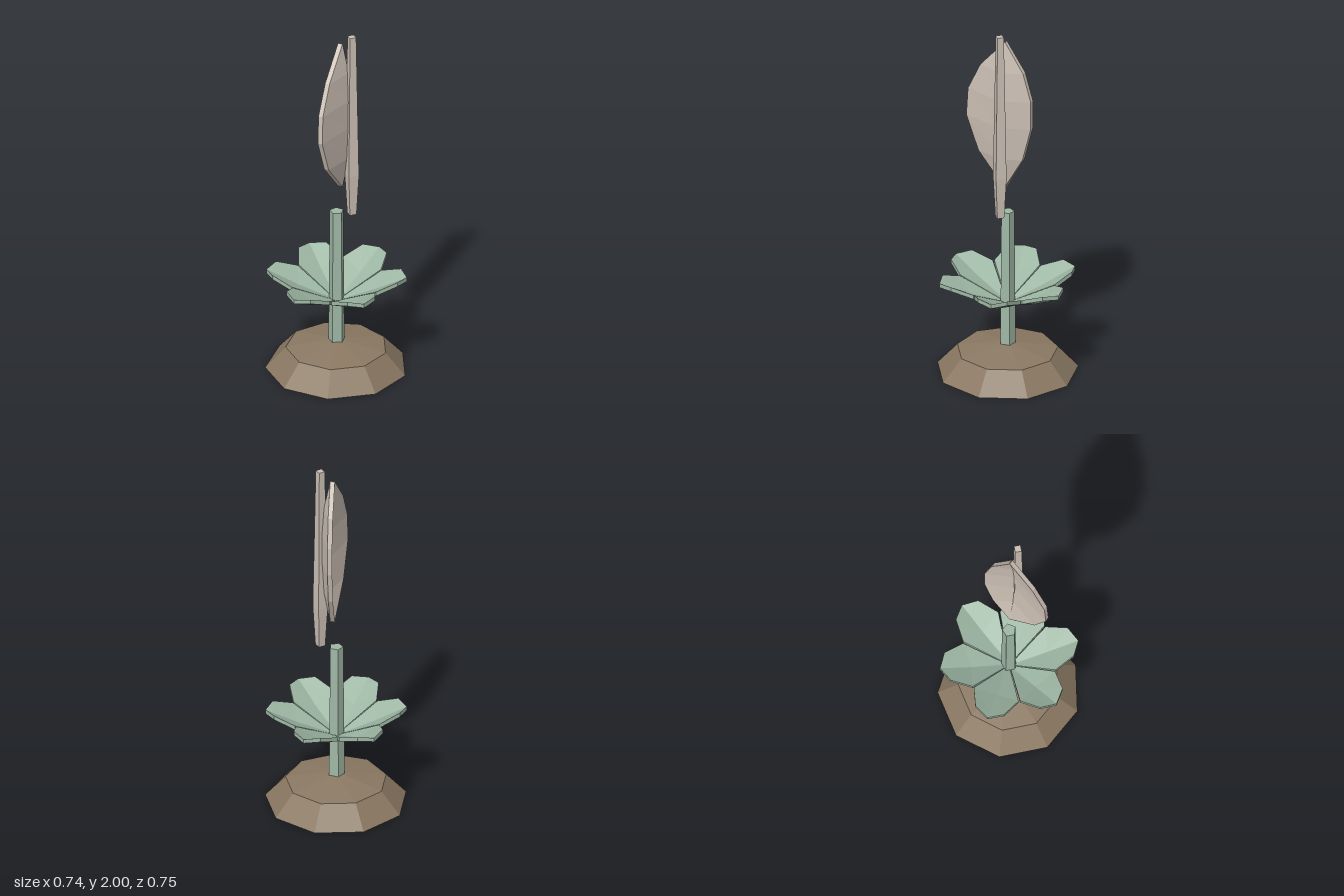
import * as THREE from 'three';

const CX = -0.012; // plant axis

// Facet a geometry so every face is flat
function faceted(geo) {
  const g = geo.index ? geo.toNonIndexed() : geo;
  g.computeVertexNormals();
  return g;
}

// Solid sheet: rows of points forming the upper skin, thickened by an offset
function thickSheet(rows, offset) {
  const out = [];
  const tri = (a, b, c) => {
    const area = b.clone().sub(a).cross(c.clone().sub(a)).length();
    if (area > 1e-7) for (const p of [a, b, c]) out.push(p.x, p.y, p.z);
  };
  const quad = (a, b, c, d) => { tri(a, b, c); tri(a, c, d); };
  const low = (p) => p.clone().add(offset);
  const n = rows.length - 1, m = rows[0].length - 1;
  for (let i = 0; i < n; i++) {
    for (let j = 0; j < m; j++) {
      const [a, b, c, d] = [rows[i][j], rows[i + 1][j], rows[i + 1][j + 1], rows[i][j + 1]];
      quad(a, b, c, d);
      quad(low(d), low(c), low(b), low(a));
    }
  }
  // rim
  const rim = [
    ...rows.map((r) => r[0]), ...rows[n].slice(1),
    ...rows.slice(0, n).reverse().map((r) => r[m]), ...rows[0].slice(0, m).reverse(),
  ];
  for (let k = 0; k < rim.length - 1; k++) {
    quad(rim[k], low(rim[k]), low(rim[k + 1]), rim[k + 1]);
  }
  const g = new THREE.BufferGeometry();
  g.setAttribute('position', new THREE.Float32BufferAttribute(out, 3));
  g.computeVertexNormals();
  return g;
}

export function createModel() {
  const soil = new THREE.MeshStandardMaterial({ color: 0x8a7862 });
  soil.name = 'soil brown';
  const green = new THREE.MeshStandardMaterial({ color: 0x9fb8a5 });
  green.name = 'sage green';
  const cream = new THREE.MeshStandardMaterial({ color: 0xcbbfb4 });
  cream.name = 'pale petal';

  const model = new THREE.Group();
  model.name = 'plant';
  const add = (name, geo, mat, x = 0, y = 0, z = 0) => {
    const mesh = new THREE.Mesh(geo, mat);
    mesh.name = name;
    mesh.position.set(x, y, z);
    model.add(mesh);
    return mesh;
  };

  // Nine-sided mound of earth
  const moundProfile = [[0, 0], [0.381, 0], [0.272, 0.12], [0, 0.168]].map((p) => new THREE.Vector2(...p));
  add('mound', faceted(new THREE.LatheGeometry(moundProfile, 9, Math.PI / 2)), soil, CX);

  // Five-sided tapering stem
  add('stem', faceted(new THREE.CylinderGeometry(0.038, 0.045, 0.8, 5, 1, false, Math.PI / 2)), green, CX, 0.535);

  // Six cupped leaves: [edge radius, half width, edge height, rib radius, rib height]
  const leafRows = [
    [0.02, 0.01, 0.405, 0.015, 0.402],
    [0.225, 0.125, 0.525, 0.208, 0.478],
    [0.335, 0.08, 0.565, 0.335, 0.538],
    [0.376, 0, 0.557, 0.376, 0.557],
  ].map(([r, w, y, rr, ry]) => [
    new THREE.Vector3(-w, y, r), new THREE.Vector3(0, ry, rr), new THREE.Vector3(w, y, r),
  ]);
  const leafGeo = thickSheet(leafRows, new THREE.Vector3(0, -0.024, 0));
  for (let i = 0; i < 6; i++) {
    add('leaf' + (i + 1), leafGeo, green, CX).rotation.y = (i * Math.PI) / 3;
  }

  // Folded flower hood: [height, near-side edge, far-side edge, edge depth, rib depth]
  const hoodGeo = thickSheet([
    [1.085, -0.008, -0.008, 0.024, 0.024],
    [1.265, -0.172, 0.094, 0.012, 0.06],
    [1.455, -0.248, 0.141, 0.006, 0.072],
    [1.615, -0.238, 0.141, 0.006, 0.072],
    [1.775, -0.16, 0.098, 0.012, 0.058],
    [1.945, -0.008, -0.008, 0.024, 0.024],
  ].map(([y, a, b, edge, rib]) => [
    new THREE.Vector3(b, y, edge), new THREE.Vector3(-0.004, y, rib), new THREE.Vector3(a, y, edge),
  ].map((p) => p.applyAxisAngle(new THREE.Vector3(0, 1, 0), Math.PI / 4))),
  new THREE.Vector3(-0.018, 0, -0.018));
  add('hood', hoodGeo, cream);

  // Square flower spike, widest near its foot
  const d = Math.SQRT2;
  const spikeProfile = [[0, 0.935], [0.019 * d, 0.935], [0.029 * d, 1.17], [0.0175 * d, 2], [0, 2]]
    .map((p) => new THREE.Vector2(...p));
  add('spike', faceted(new THREE.LatheGeometry(spikeProfile, 4, Math.PI / 4)), cream, 0.05, 0, 0.06);

  return model;
}
